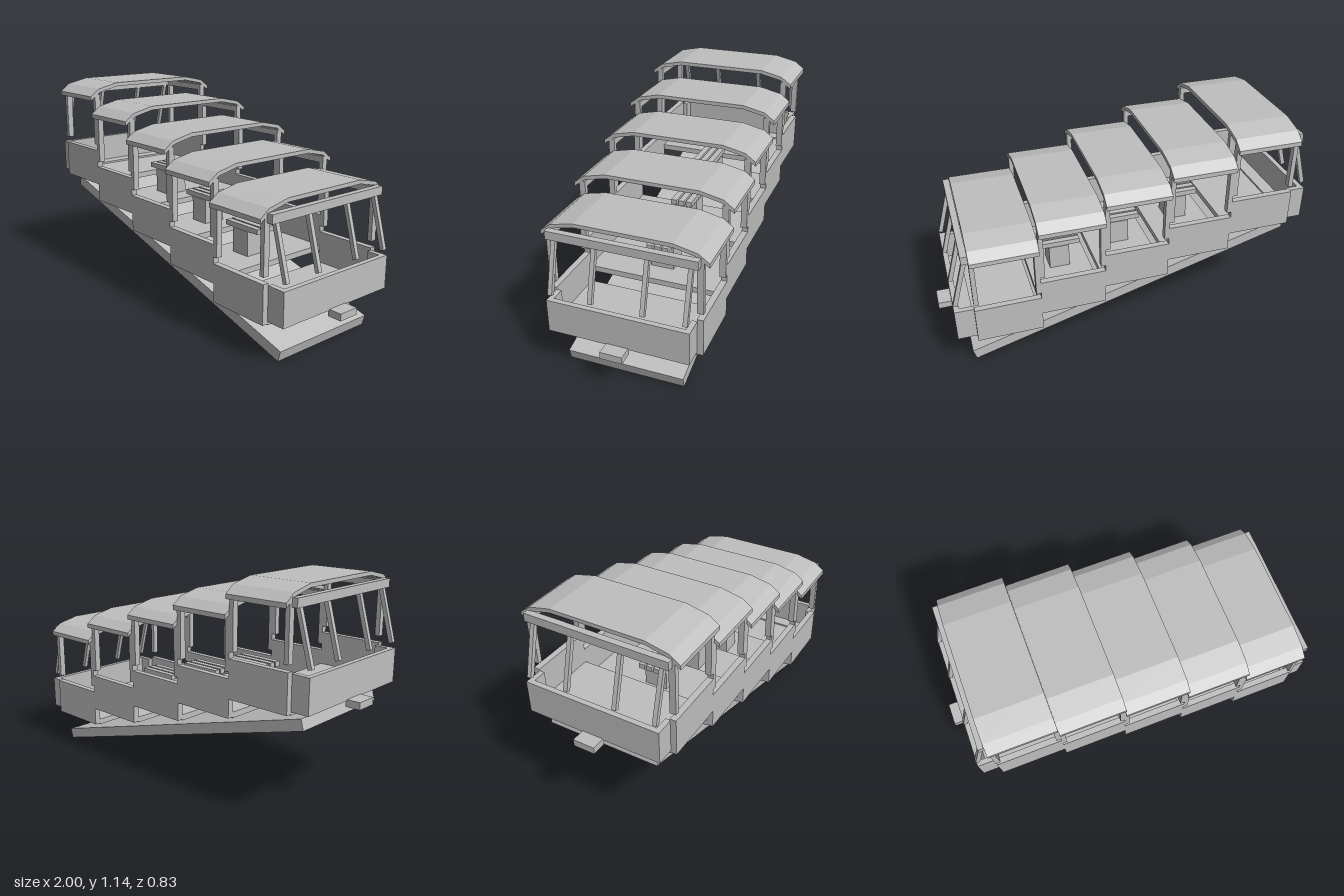
import * as THREE from 'three';

export function createModel() {
  const model = new THREE.Group();
  const grey = new THREE.MeshStandardMaterial({ color: 0xbfbfbf });
  grey.name = 'light grey';

  // Box given by its limits on each axis
  function box(name, parent, x0, x1, y0, y1, z0, z1) {
    const mesh = new THREE.Mesh(new THREE.BoxGeometry(x1 - x0, y1 - y0, z1 - z0), grey);
    mesh.position.set((x0 + x1) / 2, (y0 + y1) / 2, (z0 + z1) / 2);
    mesh.name = name;
    parent.add(mesh);
    return mesh;
  }

  // Square bar between two points in the xy plane
  function bar(name, parent, ax, ay, bx, by, z, width, depth) {
    const mesh = new THREE.Mesh(
      new THREE.BoxGeometry(Math.hypot(bx - ax, by - ay), width, depth), grey);
    mesh.position.set((ax + bx) / 2, (ay + by) / 2, z);
    mesh.rotation.z = Math.atan2(by - ay, bx - ax);
    mesh.name = name;
    parent.add(mesh);
  }

  // Bent roof panel cross-section, y measured from the body top
  const upper = [[0.413, 0.302], [0.36, 0.341], [0.243, 0.367]];
  const lower = [[0.243, 0.347], [0.355, 0.322], [0.413, 0.279]];
  const mirror = (pts) => pts.map(([z, y]) => [-z, y]).reverse();
  const outline = [...upper, ...mirror(upper), ...mirror(lower), ...lower];
  const roofShape = new THREE.Shape(outline.map(([z, y]) => new THREE.Vector2(z, y)));

  const count = 5, start = -0.84, length = 0.335, drop = 0.0945, top = 0.775;

  // Five stepped compartments
  for (let i = 0; i < count; i++) {
    const section = new THREE.Group();
    section.name = 'compartment' + (i + 1);
    section.position.set(start + i * length, top - i * drop, 0);
    model.add(section);

    const roofGeometry = new THREE.ExtrudeGeometry(roofShape, { depth: length, bevelEnabled: false });
    roofGeometry.rotateY(Math.PI / 2);
    const roof = new THREE.Mesh(roofGeometry, grey);
    roof.name = 'roof';
    section.add(roof);

    box('floor', section, 0, length, -0.2, -0.17, -0.355, 0.355);
    for (const s of [-1, 1]) {
      const za = s > 0 ? 0.355 : -0.387, zb = s > 0 ? 0.387 : -0.355;
      box('sideWall', section, 0, length, -0.194, 0, za, zb);
      box('roofRail', section, 0, length, 0.279, 0.312, za, zb);
      box('rearPost', section, 0, 0.024, 0.033, 0.3, za, zb);
      box('frontPost', section, length - 0.024, length, 0.033, 0.3, za, zb);
    }

    // Slatted bench on a pedestal in the middle compartments
    if (i > 0 && i < count - 1) {
      box('benchPedestal', section, 0.11, 0.22, -0.17, -0.038, -0.062, 0.062);
      for (const z of [-0.042, 0, 0.042]) {
        box('benchSlat', section, 0.05, 0.285, -0.038, -0.011, z - 0.016, z + 0.016);
      }
    }
  }

  // Open cab, slanted window bars and buffer at each end
  for (const s of [-1, 1]) {
    const end = new THREE.Group();
    end.name = s > 0 ? 'lowerEnd' : 'upperEnd';
    model.add(end);
    const y = s > 0 ? top - (count - 1) * drop : top;
    const span = (name, a, b, y0, y1, z0, z1) =>
      box(name, end, Math.min(s * a, s * b), Math.max(s * a, s * b), y + y0, y + y1, z0, z1);

    span('cabWall', 0.905, 0.932, -0.183, -0.011, -0.357, 0.357);
    span('cabFloor', 0.835, 0.905, -0.183, -0.16, -0.33, 0.33);
    for (const z of [-0.357, 0.33]) {
      span('cabSide', 0.835, 0.905, -0.183, -0.011, z, z + 0.027);
    }
    span('endBeam', 0.835, 0.868, 0.279, 0.322, -0.373, 0.373);
    for (const z of [-0.335, -0.13, 0.13, 0.335]) {
      bar('windowBar', end, s * 0.846, y + 0.29, s * 0.922, y + 0.018, z, 0.022, 0.022);
    }
    span('buffer', 0.925, 1, -0.213, -0.177, -0.056, 0.056);
  }

  // Sloping chassis slab
  bar('chassis', model, -0.862, 0.522, 0.858, 0.033, 0, 0.056, 0.6);

  return model;
}
